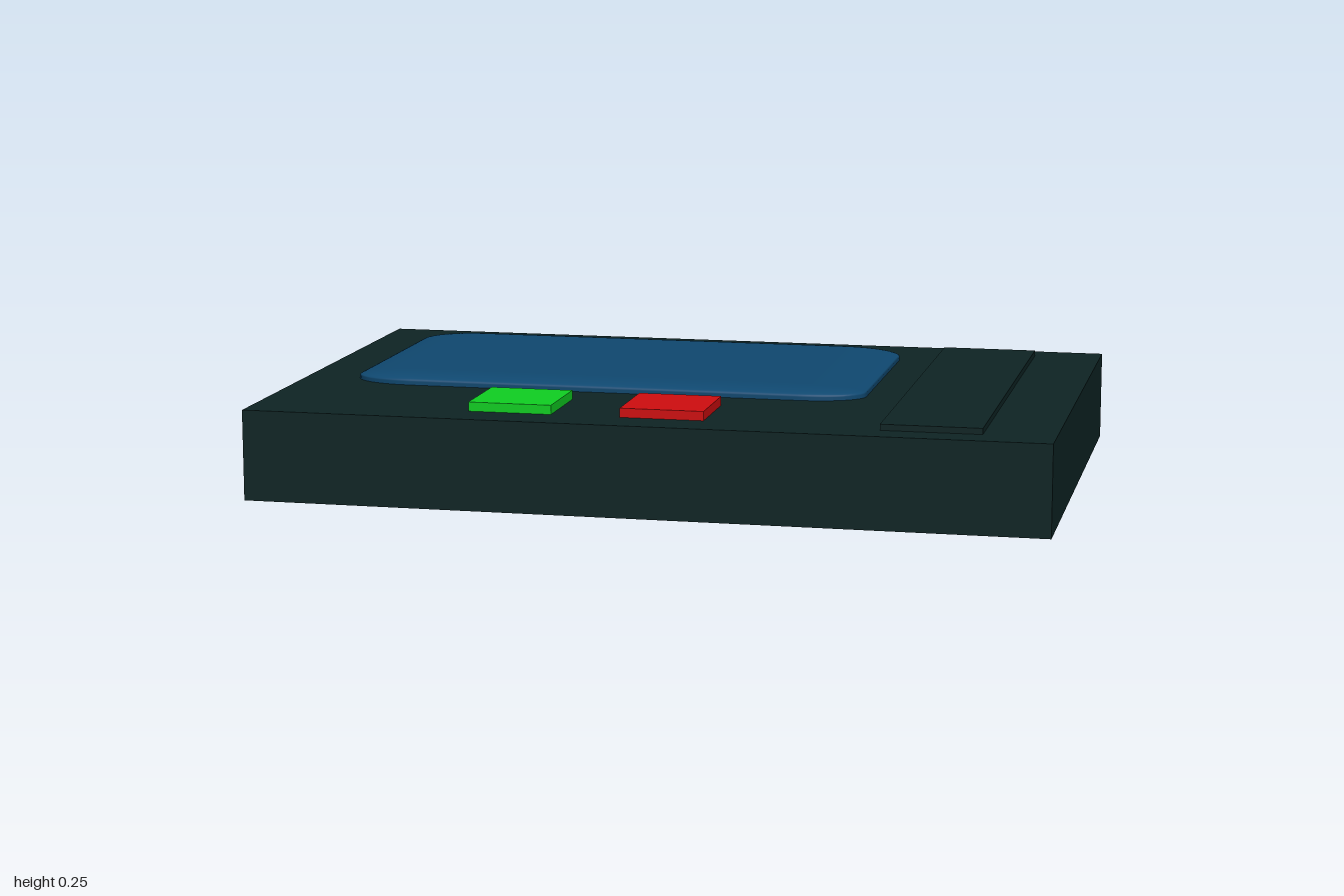
import * as THREE from 'three';
import { RoundedBoxGeometry } from 'three/addons/geometries/RoundedBoxGeometry.js';

const material = (name, color) => {
  const m = new THREE.MeshStandardMaterial({ color });
  m.name = name;
  return m;
};

export function createModel() {
  const group = new THREE.Group();
  group.name = 'handheldDevice';
  const casing = material('darkCasing', 0x0e2424);
  const glass = material('blueScreen', 0x0f4870);
  const green = material('greenButton', 0x0fd022);
  const red = material('redButton', 0xd00d0f);

  const add = (name, geometry, mat, x, y, z) => {
    const mesh = new THREE.Mesh(geometry, mat);
    mesh.name = name;
    mesh.position.set(x, y, z);
    group.add(mesh);
  };
  // Box given by its extents along each axis
  const addBox = (name, mat, [x0, x1], [y0, y1], [z0, z1]) =>
    add(name, new THREE.BoxGeometry(x1 - x0, y1 - y0, z1 - z0), mat,
      (x0 + x1) / 2, (y0 + y1) / 2, (z0 + z1) / 2);

  // Slab body and the raised side panel
  const top = 0.228;
  addBox('body', casing, [-1, 1], [0, top], [-0.64, 0.64]);
  addBox('sidePanel', casing, [0.578, 0.825], [top - 0.02, 0.243], [-0.566, 0.562]);

  // Pillow-edged screen: a rounded cube stretched flat and sunk into the body
  const screen = new RoundedBoxGeometry(1, 1, 1, 5, 0.12);
  screen.scale(1.336, 0.15, 0.732);
  add('screen', screen, glass, -0.192, 0.255 - 0.075, -0.146);

  // Square buttons
  addBox('greenButton', green, [-0.45, -0.24], [top - 0.02, 0.251], [0.325, 0.535]);
  addBox('redButton', red, [-0.067, 0.142], [top - 0.02, 0.251], [0.325, 0.535]);

  return group;
}
